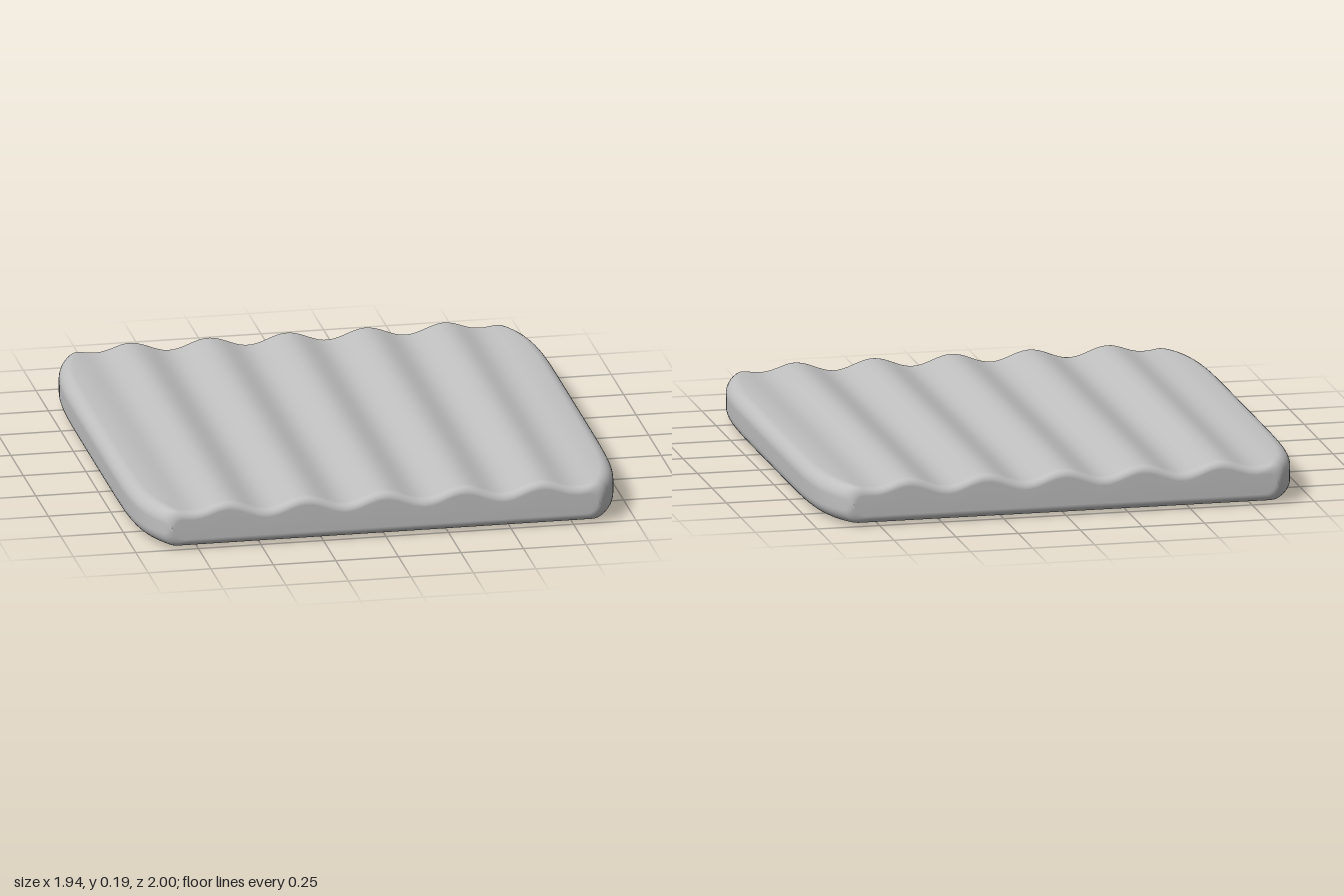
import * as THREE from 'three';

const CORNER = 0.055; // rounding along the long sides
const END = 0.03;     // rounding at the front and back ends

// Bulging outline of the slab: half width at depth z
const halfWidth = (z) => 0.97 - 0.1 * Math.abs(z) ** 7;

// Ripples across the top, fading towards the sides
function topHeight(x) {
  const fade = 1 - THREE.MathUtils.smoothstep(Math.abs(x), 0.63, 0.95);
  return 0.165 + 0.02 * fade * Math.cos((2 * Math.PI * x) / 0.315);
}

// Columns across one section: [side, arc angle] at the corners, fractions between
function columns(w) {
  const arc = [];
  for (let i = 0; i < 8; i++) arc.push(CORNER * (1 - Math.cos((i / 8) * Math.PI / 2)));
  const inner = w - CORNER;
  const xs = arc.map((d) => -w + d);
  for (let i = 0; i <= 80; i++) xs.push(-inner + (2 * inner * i) / 80);
  return xs.concat(arc.reverse().map((d) => w - d));
}

// Closed ring of points: top from left to right, underside back again
function section(z, inset, flat) {
  const w = halfWidth(z) - inset * 0.6;
  const top = [], bottom = [];
  for (const x of columns(w)) {
    const k = Math.max(0, CORNER - (w - Math.abs(x)));
    const drop = CORNER - Math.sqrt(Math.max(0, CORNER * CORNER - k * k)) + inset;
    const yTop = topHeight(x) - 0.004 * z ** 4 - drop;
    const yBottom = 0.01 * z ** 4 + drop;
    const mid = (yTop + yBottom) / 2;
    top.push([x, flat ? mid : yTop, z]);
    bottom.push([x, flat ? mid : yBottom, z]);
  }
  return top.concat(bottom.reverse());
}

function slabGeometry() {
  // Stations along z: flat end, rounded end, body
  const half = [[1, END, true]];
  for (let i = 6; i >= 1; i--) {
    const t = (i / 6) * Math.PI / 2;
    half.push([1 - END + END * Math.sin(t), END * (1 - Math.cos(t)), false]);
  }
  const body = [];
  for (let i = 0; i <= 48; i++) body.push([(1 - END) * Math.sin((i / 24 - 1) * Math.PI / 2), 0, false]);
  const stations = [
    ...half.map(([z, e, f]) => [-z, e, f]),
    ...body,
    ...half.slice().reverse(),
  ];

  const rings = stations.map((s) => section(...s));
  const n = rings[0].length;
  const index = [];
  for (let k = 0; k < rings.length - 1; k++) {
    for (let j = 0; j < n; j++) {
      const a = k * n + j, b = k * n + ((j + 1) % n);
      index.push(a, a + n, b, b, a + n, b + n);
    }
  }
  const geometry = new THREE.BufferGeometry();
  geometry.setAttribute('position', new THREE.Float32BufferAttribute(rings.flat(2), 3));
  geometry.setIndex(index);
  geometry.computeVertexNormals();
  return geometry;
}

export function createModel() {
  const model = new THREE.Group();
  model.name = 'ripplePad';
  const grey = new THREE.MeshStandardMaterial({ color: 0xc0c0c0 });
  grey.name = 'light grey';
  const pad = new THREE.Mesh(slabGeometry(), grey);
  pad.name = 'rippledPad';
  model.add(pad);
  return model;
}
